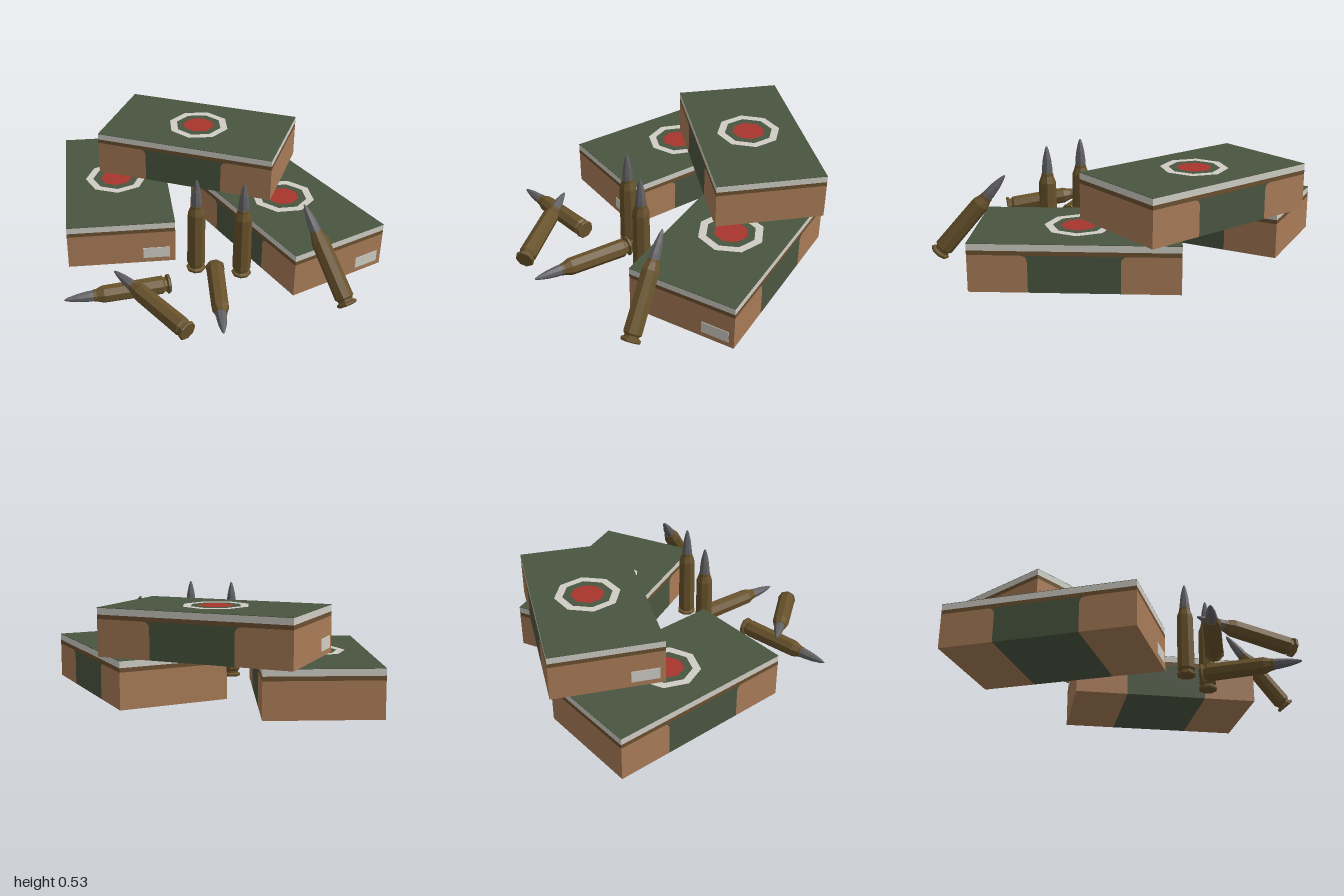
import * as THREE from 'three';

const mat = (name, color) => Object.assign(new THREE.MeshStandardMaterial({ color }), { name });
const tan = mat('cardboard tan', 0xa87b57);
const green = mat('olive green', 0x4a5640);
const white = mat('off white', 0xcfcdc5);
const brown = mat('stripe brown', 0x6b5030);
const red = mat('target red', 0xa8352d);
const brass = mat('dark brass', 0x68522b);
const steel = mat('bullet grey', 0x626265);

const L = 0.98, W = 0.555;      // carton length and width
const BODY = 0.18, TOP = 0.235; // height of the printed body and of the whole carton
const BAND = 0.213, R = 0.035;  // half width of the green band, corner radius

function add(parent, name, geometry, material, x = 0, y = 0, z = 0) {
  const mesh = new THREE.Mesh(geometry, material);
  mesh.name = name;
  mesh.position.set(x, y, z);
  parent.add(mesh);
  return mesh;
}

// Extrudes a side profile across the carton width
function across(shape) {
  const g = new THREE.ExtrudeGeometry(shape, { depth: W, bevelEnabled: false, curveSegments: 5 });
  return g.translate(0, 0, -W / 2);
}

function carton(x, y, z, turn) {
  const box = new THREE.Group();
  box.name = 'carton';
  box.position.set(x, y, z);
  box.rotation.y = turn;

  // Tan ends, each with one rounded corner beside the band
  const end = new THREE.Shape();
  end.moveTo(BAND, 0);
  end.lineTo(L / 2, 0);
  end.lineTo(L / 2, BODY);
  end.lineTo(BAND + R, BODY);
  end.quadraticCurveTo(BAND, BODY, BAND, BODY - R);
  add(box, 'rightEnd', across(end), tan);
  add(box, 'leftEnd', across(end), tan).rotation.y = Math.PI;

  // Green band that flares out to fill those corners
  const band = new THREE.Shape();
  band.moveTo(-BAND, 0);
  band.lineTo(BAND, 0);
  band.lineTo(BAND, BODY - R);
  band.quadraticCurveTo(BAND, BODY, BAND + R, BODY);
  band.lineTo(-BAND - R, BODY);
  band.quadraticCurveTo(-BAND, BODY, -BAND, BODY - R);
  add(box, 'greenBand', across(band), green);

  // Stripe, pale rim and green lid stacked on the body
  const layers = [['brownStripe', brown, BODY, 0.201], ['paleRim', white, 0.201, TOP - 0.002], ['lid', green, TOP - 0.002, TOP]];
  for (const [name, m, low, high] of layers)
    add(box, name, new THREE.BoxGeometry(L, high - low, W), m, 0, (low + high) / 2);

  // Target printed on the lid
  const ring = new THREE.RingGeometry(0.127, 0.168, 8).rotateX(-Math.PI / 2);
  const disc = new THREE.CircleGeometry(0.086, 8).rotateX(-Math.PI / 2);
  add(box, 'targetRing', ring, white, 0, TOP + 0.003);
  add(box, 'targetCentre', disc, red, 0, TOP + 0.003);

  // Blank label on one end
  add(box, 'label', new THREE.BoxGeometry(0.006, 0.06, 0.14), white, L / 2, 0.057, -0.18);
  return box;
}

// Eight-sided faceted lathe
function lathe(points) {
  const g = new THREE.LatheGeometry(points.map(p => new THREE.Vector2(...p)), 8).toNonIndexed();
  g.computeVertexNormals();
  return g;
}
const caseGeometry = lathe([
  [0, 0], [0.046, 0], [0.05, 0.006], [0.05, 0.014], [0.037, 0.02], [0.037, 0.03],
  [0.047, 0.04], [0.044, 0.335], [0.031, 0.372], [0.03, 0.385], [0, 0.385],
]);
const bulletGeometry = lathe([
  [0.028, 0.38], [0.027, 0.41], [0.021, 0.46], [0.011, 0.505], [0.004, 0.525], [0, 0.527],
]);

function cartridge(base, tip) {
  const group = new THREE.Group();
  group.name = 'cartridge';
  const from = new THREE.Vector3(...base);
  const direction = new THREE.Vector3(...tip).sub(from).normalize();
  group.position.copy(from);
  group.quaternion.setFromUnitVectors(new THREE.Vector3(0, 1, 0), direction);
  add(group, 'brassCase', caseGeometry, brass);
  add(group, 'bulletTip', bulletGeometry, steel);
  return group;
}

export function createModel() {
  const model = new THREE.Group();
  model.name = 'ammunitionCartons';
  model.add(
    carton(0.26, 0.008, -0.453, -0.098),
    carton(-0.438, 0.008, 0.155, -0.523),
    carton(-0.305, 0.248, -0.315, 0.608 + Math.PI),
    // Standing
    cartridge([0.25, 0.008, 0.118], [0.25, 1, 0.118]),
    cartridge([0.422, 0.008, -0.042], [0.422, 1, -0.042]),
    // Leaning
    cartridge([0.965, 0.043, -0.255], [0.62, 0.445, -0.255]),
    // Lying
    cartridge([0.345, 0.052, 0.07], [0.775, 0.052, 0.357]),
    cartridge([0.325, 0.052, 0.338], [0.133, 0.052, 0.825]),
    cartridge([0.68, 0.055, 0.49], [0.158, 0.128, 0.558]),
  );
  return model;
}
